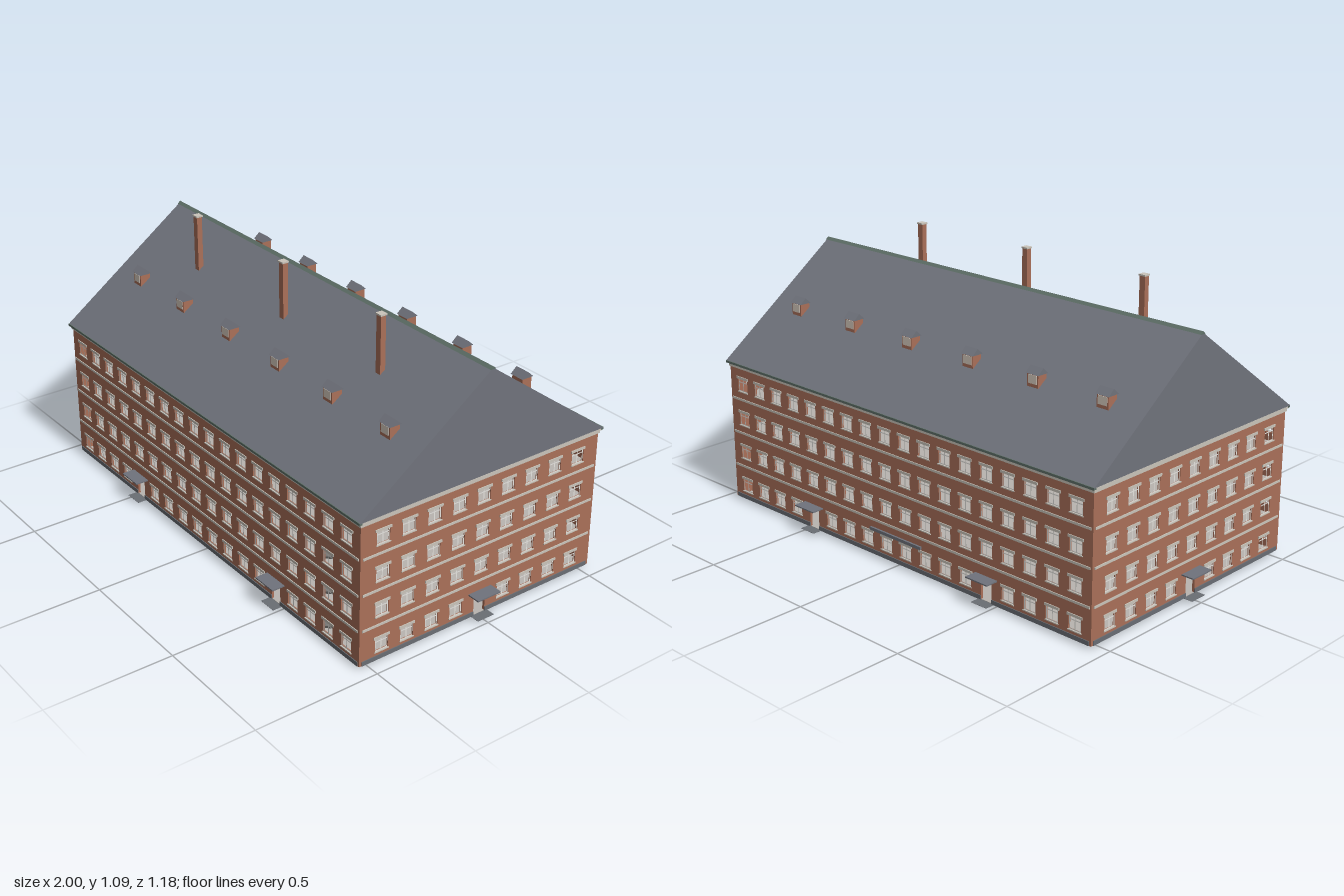
import * as THREE from 'three';
import { mergeGeometries } from 'three/addons/utils/BufferGeometryUtils.js';

const mat = (name, color, side = THREE.FrontSide) => {
  const m = new THREE.MeshStandardMaterial({ color, side });
  m.name = name;
  return m;
};

const box = (w, h, d, x, y, z) => new THREE.BoxGeometry(w, h, d).translate(x, y, z);
const plate = (w, h, x, y, z) => new THREE.PlaneGeometry(w, h).translate(x, y, z);

const BASE = 0.013, TOP = 0.59, FLOOR = 0.1425, ROWS = 4;
const WX = 0.948, WZ = 0.538, THICK = 0.01;
const WIN_W = 0.056, WIN_Y = 0.045, WIN_H = 0.056, DOOR_W = 0.052, DOOR_H = 0.101;

export function createModel() {
  const M = {
    brick: mat('brick', 0xaa7059),
    trim: mat('stone trim', 0xcac5bb),
    roof: mat('slate roof', 0x70737c),
    plinth: mat('plinth grey', 0x6a6e74),
    stair: mat('stair concrete', 0x8c8a86),
    frame: mat('window frame', 0xeceae6, THREE.DoubleSide),
    floor: mat('floor slab', 0xb9b5b0),
    ridge: mat('ridge green', 0x5f7068),
    glass: mat('dormer pane', 0xdcd0c4),
  };
  const model = new THREE.Group();
  const add = (parent, name, geos, material) => {
    const mesh = new THREE.Mesh(Array.isArray(geos) ? mergeGeometries(geos) : geos, material);
    mesh.name = name;
    parent.add(mesh);
    return mesh;
  };

  // One facade facing +z, its outer face on local z = 0
  function facade(name, wallLength, bandLength, count, step, doors) {
    const g = new THREE.Group();
    g.name = name;
    const h = wallLength / 2;
    const shape = new THREE.Shape();
    shape.moveTo(-h, BASE);
    const doorX = doors.map(i => (i - (count - 1) / 2) * step);
    for (const x of doorX) {
      shape.lineTo(x - DOOR_W / 2, BASE);
      shape.lineTo(x - DOOR_W / 2, DOOR_H);
      shape.lineTo(x + DOOR_W / 2, DOOR_H);
      shape.lineTo(x + DOOR_W / 2, BASE);
    }
    shape.lineTo(h, BASE);
    shape.lineTo(h, TOP);
    shape.lineTo(-h, TOP);
    const frames = [], trims = [], canopies = [], steps = [], plinth = [];

    // Windows: opening, frame with cross bars, lintel and sill
    for (let r = 0; r < ROWS; r++) for (let i = 0; i < count; i++) {
      if (r === 0 && doors.includes(i)) continue;
      const x = (i - (count - 1) / 2) * step, y = WIN_Y + r * FLOOR, w = WIN_W / 2;
      const hole = new THREE.Path();
      hole.moveTo(x - w, y);
      hole.lineTo(x - w, y + WIN_H);
      hole.lineTo(x + w, y + WIN_H);
      hole.lineTo(x + w, y);
      shape.holes.push(hole);
      for (const s of [-1, 0, 1]) frames.push(plate(0.004, WIN_H, x + s * (w - 0.002), y + WIN_H / 2, -0.003));
      for (const t of [0.002, WIN_H * 0.68, WIN_H - 0.002])
        frames.push(plate(WIN_W, 0.004, x, y + t, -0.003));
      trims.push(box(0.068, 0.01, 0.005, x, y + WIN_H + 0.001, 0.0005));
      trims.push(box(0.062, 0.004, 0.005, x, y - 0.001, 0.0005));
    }

    // Door canopies and steps
    for (const x of doorX) {
      canopies.push(box(0.105, 0.005, 0.052, x, 0.109, 0.026));
      steps.push(box(0.075, 0.001, 0.04, x, 0.0135, 0.02));
    }

    // Plinth strips between the doors
    const stops = [-bandLength / 2, ...doorX.flatMap(x => [x - DOOR_W / 2, x + DOOR_W / 2]), bandLength / 2];
    for (let i = 0; i < stops.length; i += 2)
      plinth.push(box(stops[i + 1] - stops[i], 0.017, 0.004, (stops[i] + stops[i + 1]) / 2, 0.0215, 0.001));

    // Floor bands
    for (let r = 1; r < ROWS; r++) trims.push(box(bandLength, 0.009, 0.004, 0, 0.011 + r * FLOOR, 0.001));

    add(g, 'wall', new THREE.ExtrudeGeometry(shape, { depth: THICK, bevelEnabled: false }).translate(0, 0, -THICK), M.brick);
    add(g, 'windowFrames', frames, M.frame);
    add(g, 'stoneTrim', trims, M.trim);
    add(g, 'plinth', plinth, M.plinth);
    add(g, 'canopies', canopies, M.roof);
    add(g, 'doorSteps', steps, M.plinth);
    model.add(g);
    return g;
  }

  facade('frontFacade', 2 * WX, 1.88, 18, 0.1029, [4, 13]).position.z = WZ;
  const back = facade('backFacade', 2 * WX, 1.88, 18, 0.1029, [4, 13]);
  back.position.z = -WZ;
  back.rotation.y = Math.PI;
  add(back, 'backLedge', box(0.27, 0.012, 0.008, 0, 0.116, 0.004), M.roof);
  for (const s of [-1, 1]) {
    const end = facade(s > 0 ? 'leftFacade' : 'rightFacade', 2 * (WZ - THICK), 1.055, 9, 0.1106, [4]);
    end.position.x = s * WX;
    end.rotation.y = s * Math.PI / 2;
  }

  // Ground slab and inner floors
  const slabs = [box(2 * WX - 0.002, 0.003, 2 * WZ - 0.002, 0, 0.0135, 0)];
  for (let r = 1; r < ROWS; r++) slabs.push(box(1.87, 0.005, 1.05, 0, 0.011 + r * FLOOR, 0));
  add(model, 'floors', slabs, M.floor);

  // Inner stair flights
  const flights = [];
  for (let r = 0; r < 3; r++) {
    const f = new THREE.BoxGeometry(0.34, 0.008, 0.08);
    f.rotateZ(Math.atan2(0.138, 0.29)).translate(0.787, 0.077 + r * FLOOR, 0.483);
    flights.push(f);
  }
  add(model, 'stairFlights', flights, M.stair);

  // Cornice with gutters along the long eaves
  add(model, 'cornice', [
    box(1.906, 0.012, 1.084, 0, 0.574, 0),
    box(1.916, 0.008, 1.094, 0, 0.584, 0),
  ], M.trim);
  add(model, 'gutters', [-1, 1].map(s => box(1.917, 0.009, 0.012, 0, 0.5865, s * 0.546)), M.ridge);

  // Triangular prism with its ridge along x
  const prism = (length, halfDepth, y0, y1) => {
    const s = new THREE.Shape();
    s.moveTo(-halfDepth, y0);
    s.lineTo(halfDepth, y0);
    s.lineTo(0, y1);
    return new THREE.ExtrudeGeometry(s, { depth: length, bevelEnabled: false })
      .translate(0, 0, -length / 2).rotateY(Math.PI / 2);
  };
  add(model, 'roof', prism(1.918, 0.551, 0.589, 0.99), M.roof);
  add(model, 'ridgeCap', prism(1.92, 0.012, 0.985, 0.995), M.ridge);

  // Chimneys
  for (const x of [-0.57, 0, 0.57]) {
    add(model, 'chimney', box(0.025, 0.235, 0.022, x, 0.967, 0.163), M.brick);
    add(model, 'chimneyCap', box(0.03, 0.006, 0.028, x, 1.087, 0.163), M.trim);
  }

  // Dormers on both slopes
  for (const side of [-1, 1]) {
    const row = new THREE.Group();
    row.name = side > 0 ? 'frontDormers' : 'backDormers';
    row.rotation.y = side > 0 ? 0 : Math.PI;
    for (let i = 0; i < 6; i++) {
      const d = new THREE.Group();
      d.name = 'dormer';
      add(d, 'dormerBody', box(0.052, 0.05, 0.043, 0, 0.785, 0.296), M.brick);
      add(d, 'dormerWindow', box(0.04, 0.032, 0.003, 0, 0.789, 0.318), M.glass);
      add(d, 'dormerRoof', prism(0.06, 0.026, 0.808, 0.831).translate(0, 0, 0.296), M.roof);
      d.position.x = (i - 2.5) * 0.3165;
      row.add(d);
    }
    model.add(row);
  }
  return model;
}
